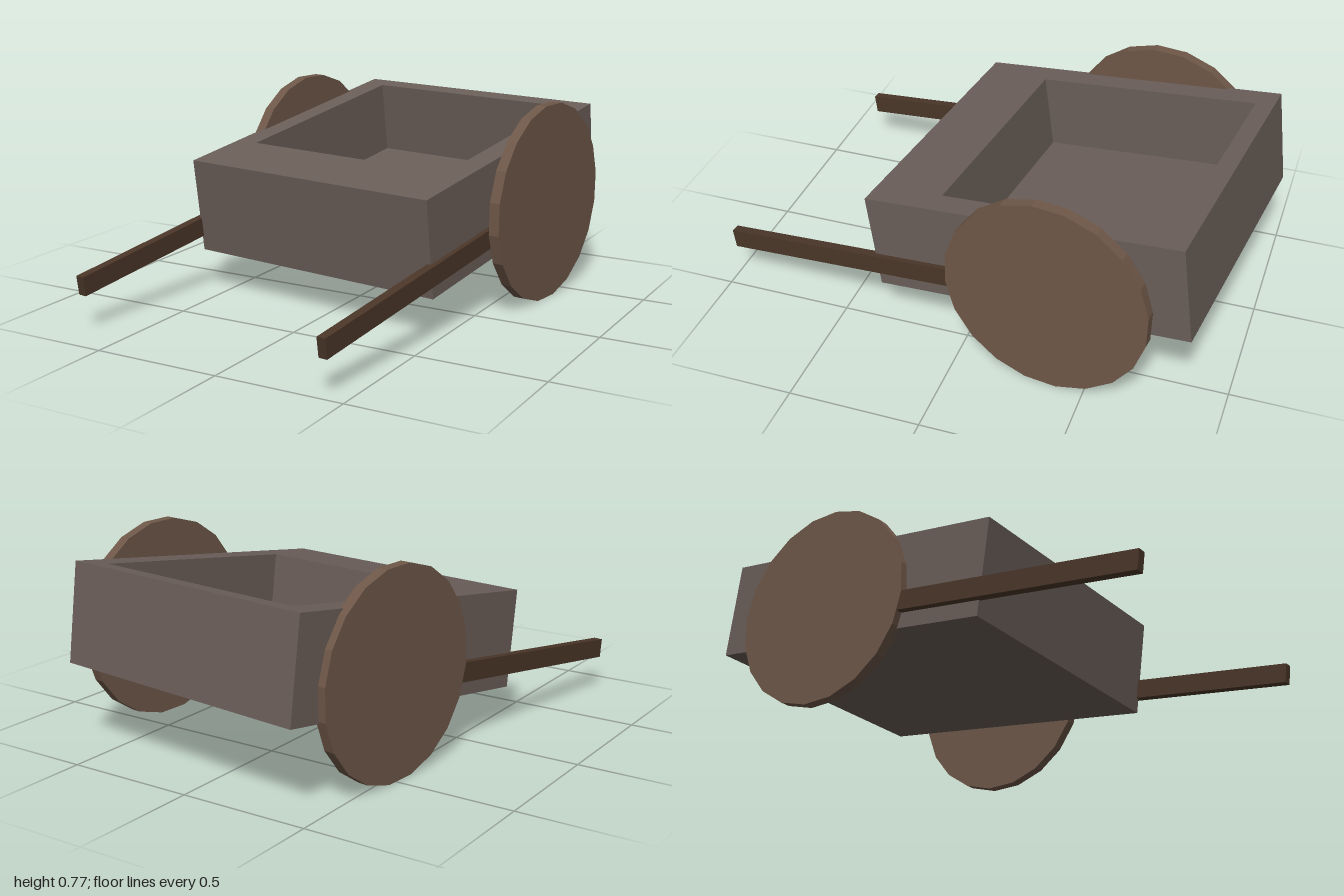
import * as THREE from 'three';

const material = (color) => new THREE.MeshStandardMaterial({ color, flatShading: true });

function addMesh(parent, name, geometry, mat, x, y, z) {
  const mesh = new THREE.Mesh(geometry, mat);
  mesh.name = name;
  mesh.position.set(x, y, z);
  parent.add(mesh);
  return mesh;
}

// Rectangle outline given by its x half width and its z range (shape y = -z)
function rectangle(Type, halfWidth, back, front) {
  return new Type([
    new THREE.Vector2(-halfWidth, -front),
    new THREE.Vector2(halfWidth, -front),
    new THREE.Vector2(halfWidth, -back),
    new THREE.Vector2(-halfWidth, -back),
  ]);
}

export function createModel() {
  const root = new THREE.Group();
  root.name = 'handcart';

  const bodyMat = material(0x6a5e58);
  const wheelMat = material(0x6e5748);
  const handleMat = material(0x4a3628);

  // The whole cart is turned a little and tipped forward onto its handles
  const cart = new THREE.Group();
  cart.name = 'cart';
  cart.rotation.set(0.134, -0.119, 0, 'YXZ');
  cart.position.set(0.0175, 0.435, -0.3025);
  root.add(cart);

  // Tray: thick walls around an opening set towards the back, on a floor slab
  const width = 1.098, length = 1.236, height = 0.378, floor = 0.078;
  const outline = rectangle(THREE.Shape, width / 2, -length / 2, length / 2);
  outline.holes.push(rectangle(THREE.Path, 0.454, -0.545, 0.344));
  const walls = new THREE.ExtrudeGeometry(outline, { depth: height - floor, bevelEnabled: false });
  walls.rotateX(-Math.PI / 2);
  addMesh(cart, 'trayWalls', walls, bodyMat, 0, -height / 2 + floor, 0);
  addMesh(cart, 'trayFloor', new THREE.BoxGeometry(width, floor, length), bodyMat,
    0, (floor - height) / 2, 0);

  // Solid disc wheels; the left one stands slightly clear of the tray
  const wheel = new THREE.CylinderGeometry(0.391, 0.391, 0.042, 20);
  wheel.rotateZ(Math.PI / 2);
  addMesh(cart, 'leftWheel', wheel, wheelMat, 0.606, -0.06, -0.11);
  addMesh(cart, 'rightWheel', wheel, wheelMat, -0.558, -0.06, -0.11);

  // Pulling handles let into the tray sides
  const handle = new THREE.BoxGeometry(0.035, 0.075, 1.12);
  addMesh(cart, 'leftHandle', handle, handleMat, 0.552, -0.092, 0.705);
  addMesh(cart, 'rightHandle', handle, handleMat, -0.56, -0.092, 0.705);

  return root;
}
